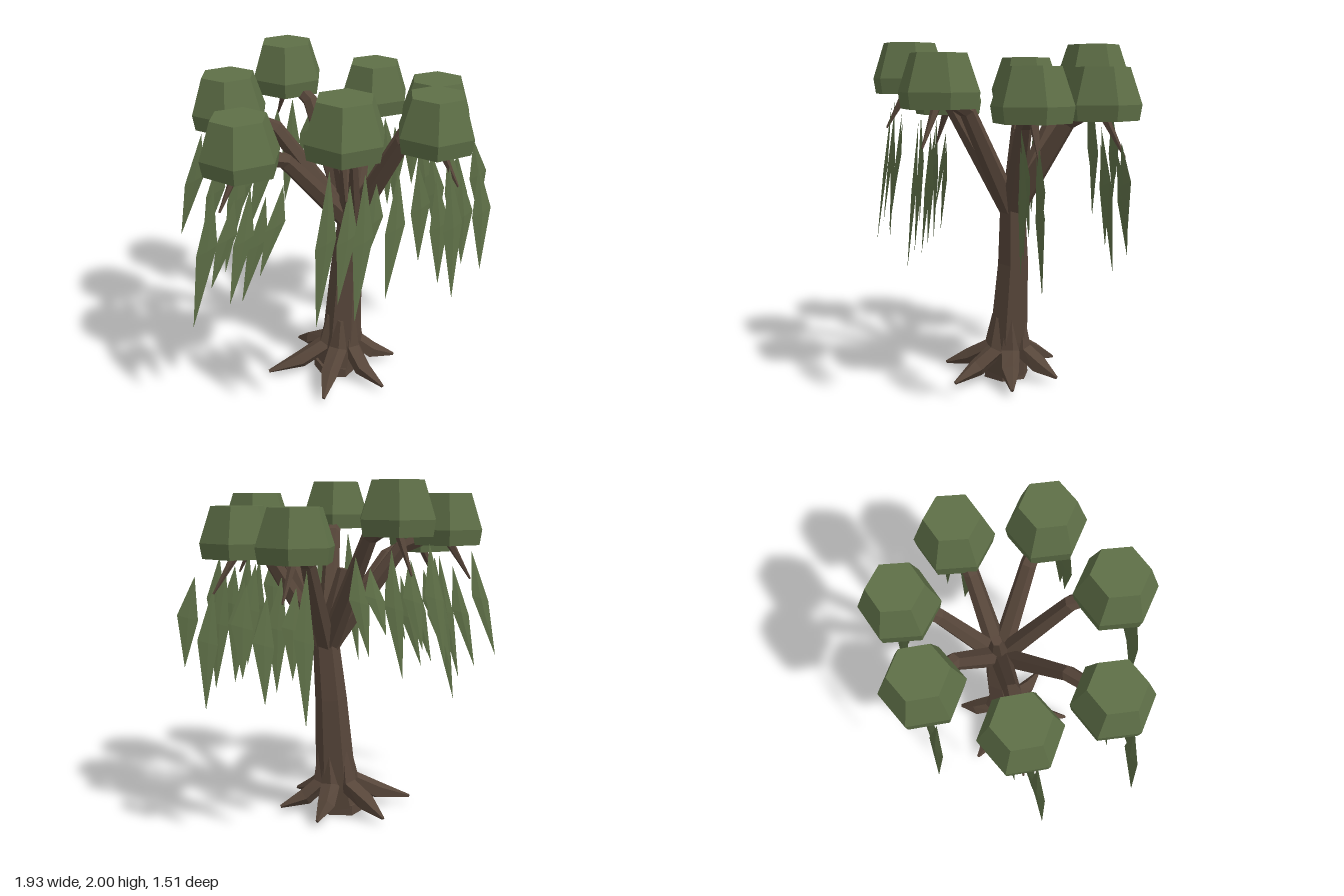
import * as THREE from 'three';

const bark = new THREE.MeshStandardMaterial({ color: 0x57463a });
bark.name = 'bark brown';
bark.flatShading = true;
const foliage = new THREE.MeshStandardMaterial({ color: 0x5e6f47 });
foliage.name = 'foliage green';
foliage.flatShading = true;

const V = (x, y, z) => new THREE.Vector3(x, y, z);

// Tapered six-sided limb through points, one radius per point, capped at both ends
function limb(name, points, radii, sides = 6) {
  const n = points.length;
  const span = points[n - 1].clone().sub(points[0]);
  const ref = V(span.z, 0, -span.x).normalize();
  const pos = [], idx = [];
  points.forEach((p, i) => {
    const t = points[Math.min(i + 1, n - 1)].clone().sub(points[Math.max(i - 1, 0)]).normalize();
    const u = ref.clone().addScaledVector(t, -ref.dot(t)).normalize();
    const v = t.clone().cross(u);
    for (let j = 0; j < sides; j++) {
      const a = (j / sides) * Math.PI * 2;
      const q = p.clone().addScaledVector(u, radii[i] * Math.cos(a)).addScaledVector(v, radii[i] * Math.sin(a));
      pos.push(q.x, q.y, q.z);
    }
  });
  for (let i = 0; i < n - 1; i++) {
    for (let j = 0; j < sides; j++) {
      const a = i * sides + j, b = i * sides + (j + 1) % sides;
      idx.push(a, b, b + sides, a, b + sides, a + sides);
    }
  }
  const top = (n - 1) * sides;
  for (let j = 1; j < sides - 1; j++) {
    idx.push(0, j + 1, j, top, top + j, top + j + 1);
  }
  let g = new THREE.BufferGeometry();
  g.setAttribute('position', new THREE.Float32BufferAttribute(pos, 3));
  g.setIndex(idx);
  g = g.toNonIndexed();
  g.computeVertexNormals();
  const mesh = new THREE.Mesh(g, bark);
  mesh.name = name;
  return mesh;
}

// Faceted hexagonal leaf clump: narrow base, belt, tapered crown
function clump(x, y, z, turn) {
  const profile = [[0, 0], [0.21, 0], [0.224, 0.087], [0.155, 0.29], [0, 0.29]];
  const g = new THREE.LatheGeometry(profile.map(([r, h]) => new THREE.Vector2(r, h)), 6).toNonIndexed();
  g.computeVertexNormals();
  const mesh = new THREE.Mesh(g, foliage);
  mesh.name = 'leafClump';
  mesh.position.set(x, y, z);
  // corners point roughly along x
  mesh.rotation.y = Math.PI / 6 + turn;
  return mesh;
}

// Flat diamond leaf hanging from one point to another, broad face towards z
function hangingLeaf(from, to) {
  const mid = from.clone().lerp(to, 0.45).add(V(0.015, 0, 0));
  const w = 0.06, d = 0.01;
  const ring = [V(w, 0.02, 0), V(0, 0, d), V(-w, -0.02, 0), V(0, 0, -d)].map((p) => p.add(mid));
  const pos = [];
  ring.forEach((p, i) => {
    const q = ring[(i + 1) % 4];
    for (const c of [from, q, p, to, p, q]) pos.push(c.x, c.y, c.z);
  });
  const g = new THREE.BufferGeometry();
  g.setAttribute('position', new THREE.Float32BufferAttribute(pos, 3));
  g.computeVertexNormals();
  const mesh = new THREE.Mesh(g, foliage);
  mesh.name = 'hangingLeaf';
  return mesh;
}

export function createModel() {
  const tree = new THREE.Group();
  tree.name = 'willowTree';

  // Leaning trunk on a level foot, and its short central leader
  tree.add(limb('trunkFoot', [V(0, 0, 0), V(0.0001, 0.06, 0)], [0.14, 0.138]));
  tree.add(limb('trunk',
    [V(0.01, 0.045, 0), V(0.045, 0.25, 0), V(0.08, 0.72, -0.015), V(0.11, 1.12, 0)],
    [0.135, 0.12, 0.095, 0.075]));
  tree.add(limb('leader', [V(0.11, 1.06, 0), V(0.08, 1.22, -0.03), V(0.03, 1.5, -0.07)], [0.07, 0.055, 0.03]));

  // Flared roots, buried in the trunk at their upper ends
  const rootTips = [[-0.43, -0.09], [-0.1, -0.35], [-0.24, 0.31], [0.14, 0.37], [0.37, 0.1], [0.27, -0.22]];
  for (const [x, z] of rootTips) {
    const r = Math.hypot(x, z), dx = x / r, dz = z / r;
    tree.add(limb('root',
      [V(0.05 + dx * 0.08, 0.39, dz * 0.08), V(0.035 + dx * 0.09, 0.19, dz * 0.09),
        V(dx * 0.23, 0.095, dz * 0.23), V(x, 0.038, z)],
      [0.025, 0.06, 0.055, 0.01], 5));
  }

  // Each bough: clump x, base y, z, turn, then lower tips of its hanging leaves (x, y)
  const boughs = [
    [-0.04, 1.71, -0.58, 0.05, [[-0.27, 1.02], [-0.16, 1.1], [-0.07, 0.94], [0.08, 1.2], [0.15, 1.08]]],
    [0.46, 1.57, -0.39, -0.05, [[0.45, 0.7], [0.5, 0.95], [0.57, 0.88], [0.67, 0.84], [0.77, 0.98]]],
    [0.61, 1.57, 0.08, -0.05, [[0.57, 0.95], [0.63, 0.84], [0.73, 0.8], [0.82, 0.7], [0.92, 0.95]]],
    [0.335, 1.64, 0.5, 0, [[0.21, 1.02], [0.31, 0.88], [0.37, 0.8], [0.48, 0.95], [0.57, 0.92]]],
    [-0.215, 1.71, 0.52, -0.03, [[-0.43, 0.79], [-0.33, 0.94], [-0.26, 0.84], [-0.17, 1.1], [-0.06, 0.92]]],
    [-0.64, 1.57, 0.17, 0, [[-0.97, 0.7], [-0.87, 0.95], [-0.79, 0.86], [-0.69, 0.8], [-0.6, 0.97]]],
    [-0.51, 1.64, -0.325, 0.05, [[-0.83, 0.97], [-0.72, 0.9], [-0.61, 0.7], [-0.54, 0.89], [-0.43, 0.95]]],
  ];
  for (const [x, y, z, turn, tips] of boughs) {
    const bough = new THREE.Group();
    bough.name = 'bough';
    const r = Math.hypot(x, z), dx = x / r, dz = z / r;
    const start = V(0.1, 1.02, 0);
    const elbow = V(0.1 + (x - 0.1) * 0.63, y - 0.02, z * 0.63);
    bough.add(limb('branch', [start, elbow, V(x, y + 0.08, z)], [0.065, 0.046, 0.037]));
    bough.add(limb('twig', [V(x, y + 0.05, z), V(x + dx * 0.15, y - 0.2, z + dz * 0.14)], [0.03, 0.006], 5));
    bough.add(clump(x, y, z, turn));
    tips.forEach(([lx, ly], i) => {
      const jitter = ((i * 2) % 5 - 2) * 0.014;
      const top = V(lx - dx * 0.12 + 0.05, y - 0.04 - ((i * 3) % 5) * 0.03, z + dz * 0.06 + 0.04 + jitter);
      bough.add(hangingLeaf(top, V(lx, ly, z + dz * 0.12 + 0.04 + jitter * 2)));
    });
    tree.add(bough);
  }
  return tree;
}
